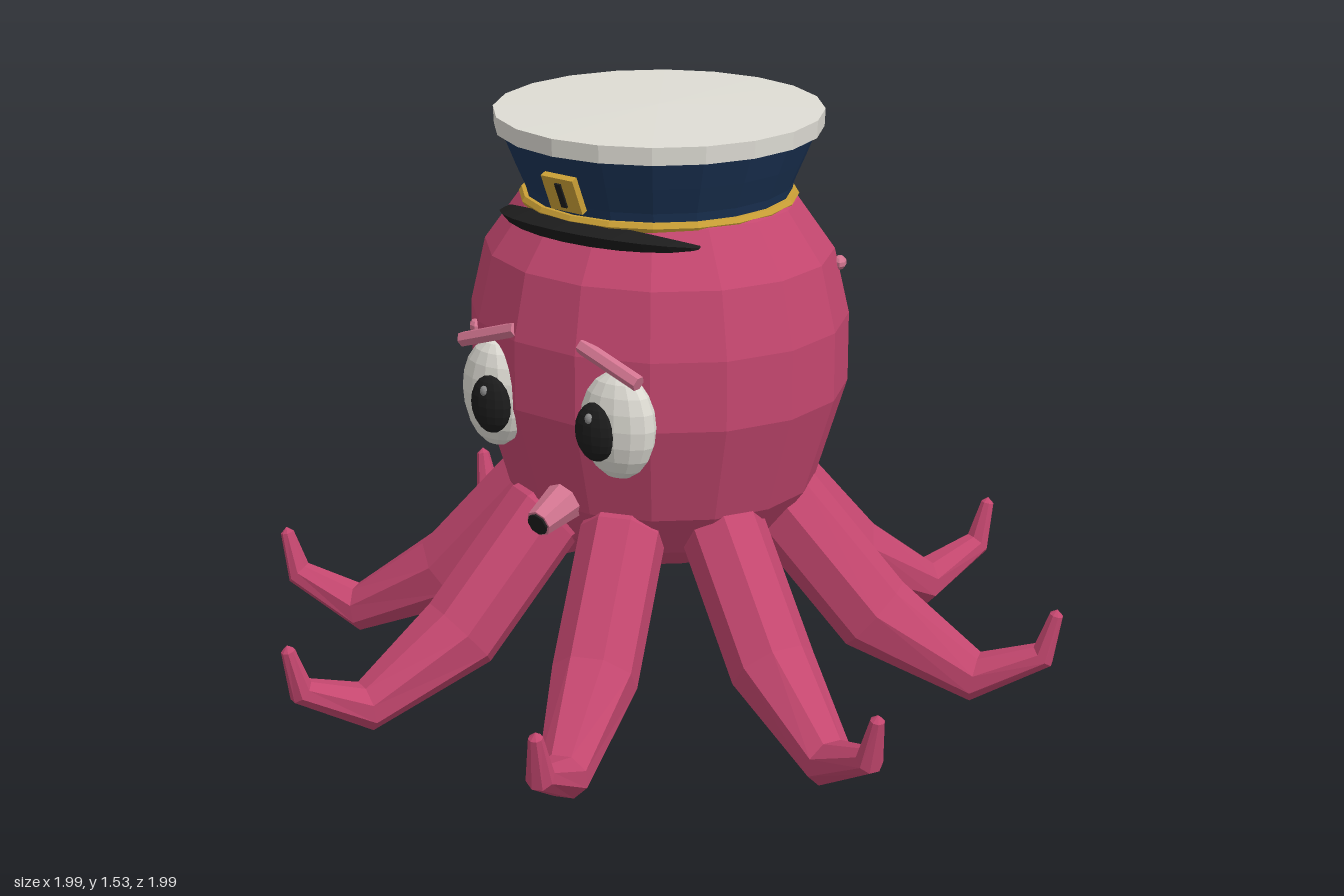
import * as THREE from 'three';

const mat = (name, color) => {
  const m = new THREE.MeshStandardMaterial({ color });
  m.name = name;
  return m;
};

// Faceted look: every face gets its own normal
function flat(geo) {
  const g = geo.index ? geo.toNonIndexed() : geo;
  g.computeVertexNormals();
  return g;
}

// Joins closed rings of points into one skin
function loft(rings) {
  const n = rings[0].length, index = [];
  for (let i = 0; i < rings.length - 1; i++) {
    for (let j = 0; j < n; j++) {
      const k = (j + 1) % n;
      const a = i * n + j, b = i * n + k, c = b + n, d = a + n;
      index.push(a, b, c, a, c, d);
    }
  }
  const g = new THREE.BufferGeometry();
  g.setAttribute('position', new THREE.Float32BufferAttribute(rings.flat(2), 3));
  g.setIndex(index);
  return flat(g);
}

const lathe = (pts, segments, start = 0) =>
  flat(new THREE.LatheGeometry(pts.map(p => new THREE.Vector2(...p)), segments, start));

// Arm running outward along +x: [distance, height, radius] at each joint
function tentacleGeometry() {
  const path = [
    [0.20, 0.55, 0], [0.21, 0.55, 0.09], [0.34, 0.50, 0.11], [0.585, 0.22, 0.11],
    [0.855, 0.073, 0.065], [1.03, 0.155, 0.036], [1.06, 0.27, 0.018], [1.062, 0.285, 0],
  ];
  const sides = 8;
  return loft(path.map(([r, y, rad], i) => {
    const p = path[Math.max(i - 1, 0)], q = path[Math.min(i + 1, path.length - 1)];
    const t = new THREE.Vector2(q[0] - p[0], q[1] - p[1]).normalize();
    return Array.from({ length: sides }, (_, j) => {
      const a = ((j + 0.5) / sides) * Math.PI * 2;
      const c = Math.cos(a) * rad;
      return [r - t.y * c, y + t.x * c, Math.sin(a) * rad];
    });
  }));
}

// Crescent peak: four edges meeting at a point on each side
function visorGeometry() {
  const edges = [[0.13, 0.05], [0.22, 0.04], [0.18, 0], [0.10, -0.002]]; // depth, rise
  const rings = [];
  for (let i = 0; i <= 12; i++) {
    const a = (i / 12 - 0.5) * Math.PI;
    rings.push(edges.map(([d, h]) =>
      [0.31 * Math.sin(a), 1.267 + h * Math.cos(a), 0.2 + d * Math.cos(a)]));
  }
  return loft(rings);
}

export function createModel() {
  const pink = mat('skin pink', 0xc4476f);
  const rose = mat('light rose', 0xd27590);
  const white = mat('off white', 0xdedcd4);
  const black = mat('black', 0x1c1c1c);
  const navy = mat('navy', 0x1b3355);
  const gold = mat('gold', 0xcba036);
  const grey = mat('glint grey', 0x8a8a8a);

  const model = new THREE.Group();
  model.name = 'octopus';
  const add = (name, geo, material, pos = [0, 0, 0], rot = [0, 0, 0], scale = [1, 1, 1], parent = model) => {
    const m = new THREE.Mesh(geo, material);
    m.name = name;
    m.position.set(...pos);
    m.rotation.set(...rot);
    m.scale.set(...scale);
    parent.add(m);
    return m;
  };

  // Head
  add('head', lathe([
    [0, 0.36], [0.2, 0.37], [0.33, 0.45], [0.42, 0.57], [0.5, 0.83],
    [0.5, 1.01], [0.46, 1.18], [0.365, 1.31], [0.2, 1.39], [0, 1.42],
  ], 16, Math.PI / 16), pink, [0, 0, 0], [0, 0, 0], [1, 1, 0.93]);

  // Eight arms
  const arm = tentacleGeometry();
  for (let i = 0; i < 8; i++) {
    add('tentacle' + (i + 1), arm, pink, [0, 0, 0], [0, Math.PI / 8 + i * Math.PI / 4, 0]);
  }

  // Eyes and brows, mirrored
  const ball = flat(new THREE.SphereGeometry(1, 14, 10));
  const browGeo = flat(new THREE.CylinderGeometry(0.02, 0.02, 0.19, 6));
  for (const [side, s] of [['left', 1], ['right', -1]]) {
    const face = new THREE.Group();
    face.name = side + 'Eye';
    model.add(face);
    add('eyeball', ball, white, [s * 0.2, 0.845, 0.415], [0, s * 0.12, 0], [0.105, 0.14, 0.06], face);
    add('pupil', ball, black, [s * 0.17, 0.833, 0.465], [0, 0, 0], [0.06, 0.076, 0.035], face);
    add('glint', ball, grey, [s * 0.17, 0.873, 0.49], [0, 0, 0], [0.012, 0.014, 0.01], face);
    add(side + 'Brow', browGeo, rose, [s * 0.195, 1.005, 0.44], [0, 0, Math.PI / 2 - s * 0.33]);
  }

  // Siphon mouth pointing forward and slightly down
  const siphon = new THREE.Group();
  siphon.name = 'siphon';
  siphon.position.set(0, 0.575, 0.43);
  siphon.rotation.x = Math.PI / 2 + 0.3;
  model.add(siphon);
  add('siphonTube', flat(new THREE.CylinderGeometry(0.036, 0.055, 0.12, 8)), rose,
    [0, 0, 0], [0, 0, 0], [1, 1, 1], siphon);
  add('siphonOpening', flat(new THREE.CylinderGeometry(0.03, 0.03, 0.008, 8)), black,
    [0, 0.062, 0], [0, 0, 0], [1, 1, 1], siphon);

  // Small warts
  const wart = flat(new THREE.SphereGeometry(1, 7, 5));
  for (const p of [[0.39, 1.14, -0.25], [-0.27, 1.09, -0.37], [-0.4, 1.22, -0.12], [-0.31, 0.985, 0.36]]) {
    add('wart', wart, rose, p, [0, Math.atan2(p[0], p[2]), 0], [0.028, 0.018, 0.018]);
  }

  // Cap
  add('capBand', lathe([[0, 1.31], [0.335, 1.31], [0.345, 1.35], [0.375, 1.42], [0.405, 1.495], [0, 1.495]], 20), navy);
  add('capTop', lathe([[0, 1.49], [0.418, 1.49], [0.42, 1.535], [0, 1.543]], 20), white);
  add('capCord', flat(new THREE.TorusGeometry(0.343, 0.014, 6, 20)), gold, [0, 1.315, 0], [Math.PI / 2, 0, 0]);
  add('visor', visorGeometry(), black);

  // Badge leaning with the band
  const badge = new THREE.Group();
  badge.name = 'badge';
  badge.position.set(0, 1.39, 0.375);
  badge.rotation.x = 0.4;
  model.add(badge);
  add('badgePlate', flat(new THREE.BoxGeometry(0.1, 0.1, 0.018)), gold, [0, 0, 0], [0, 0, 0], [1, 1, 1], badge);
  add('badgeSlot', flat(new THREE.BoxGeometry(0.018, 0.07, 0.006)), black, [0, 0, 0.011], [0, 0, 0], [1, 1, 1], badge);

  return model;
}
